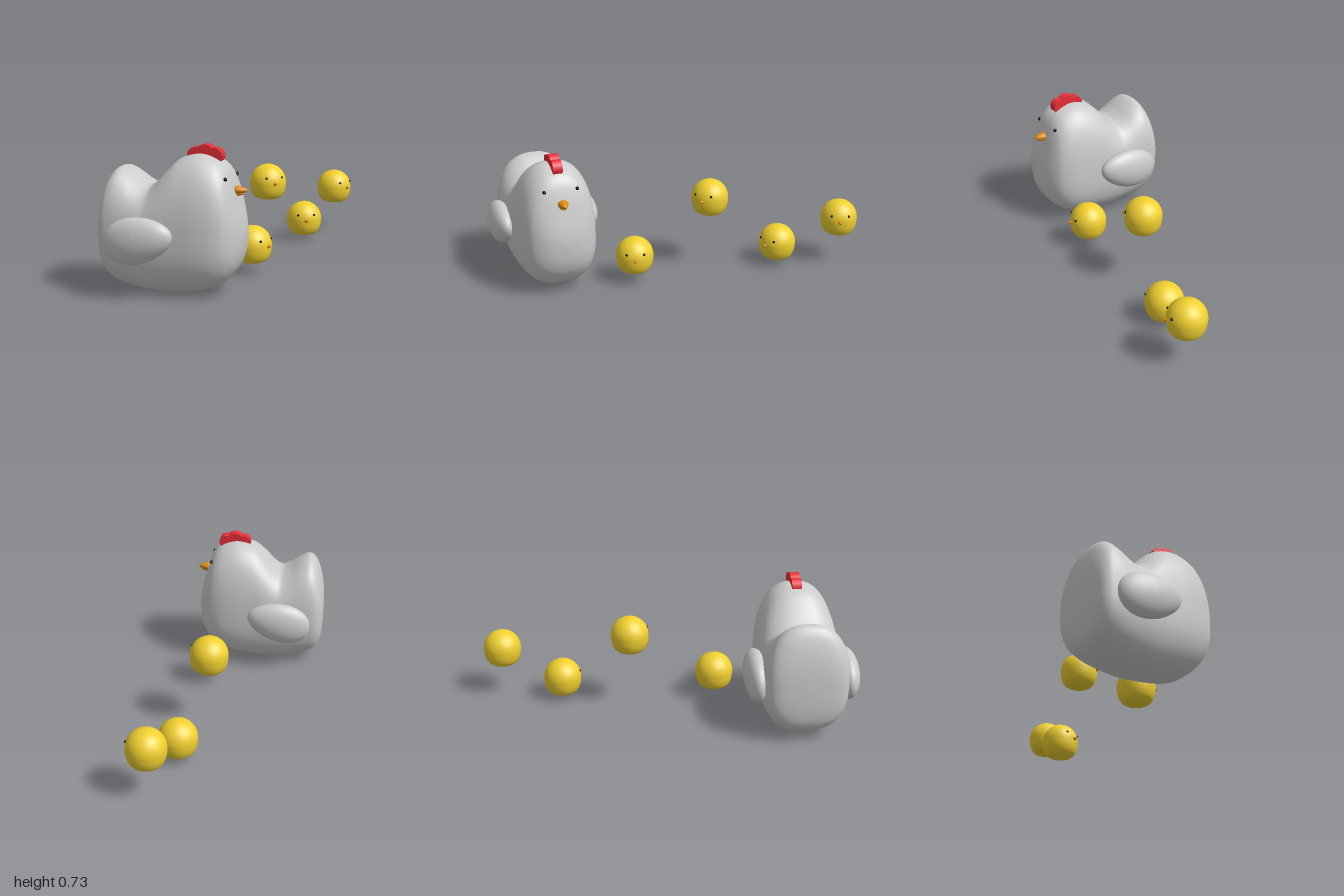
import * as THREE from 'three';
import { mergeVertices } from 'three/addons/utils/BufferGeometryUtils.js';

const mat = (color) => new THREE.MeshStandardMaterial({ color, roughness: 0.7 });
const grey = mat(0xcccccc), yellow = mat(0xf0d030), orange = mat(0xe08a10), red = mat(0xe83038), black = mat(0x0a0a0a);

function add(parent, name, geometry, material, x = 0, y = 0, z = 0) {
  const mesh = new THREE.Mesh(geometry, material);
  mesh.name = name;
  mesh.position.set(x, y, z);
  parent.add(mesh);
  return mesh;
}

// Hen body stations, front to back: z, top, bottom, half width
const stations = [
  [0.385, 0.3, 0.3, 0], [0.375, 0.375, 0.21, 0.075], [0.355, 0.46, 0.15, 0.125],
  [0.33, 0.555, 0.11, 0.16], [0.3, 0.625, 0.075, 0.18], [0.25, 0.668, 0.04, 0.197],
  [0.17, 0.69, 0.018, 0.207], [0.08, 0.668, 0.006, 0.21], [0.02, 0.62, 0, 0.212],
  [-0.04, 0.555, 0, 0.213], [-0.08, 0.53, 0.004, 0.213], [-0.13, 0.55, 0.01, 0.213],
  [-0.19, 0.592, 0.022, 0.213], [-0.24, 0.61, 0.04, 0.21], [-0.28, 0.575, 0.065, 0.202],
  [-0.31, 0.49, 0.11, 0.175], [-0.325, 0.4, 0.19, 0.115], [-0.33, 0.3, 0.3, 0],
];

// Loft of superellipse rings along the stations
function henBodyGeometry(rows = 85, cols = 56, mid = 0.3) {
  const spline = (f) => new THREE.CatmullRomCurve3(stations.map(f), false, 'catmullrom', 0.5);
  const heights = spline((s) => new THREE.Vector3(s[0], s[1], s[2]));
  const widths = spline((s) => new THREE.Vector3(s[3], 0, 0));
  const soft = (v, n) => Math.sign(v) * Math.abs(v) ** (2 / n);
  const positions = [], index = [];
  for (let i = 0; i <= rows; i++) {
    const { x: z, y: top, z: bottom } = heights.getPoint(i / rows);
    const w = Math.max(0, widths.getPoint(i / rows).x);
    for (let j = 0; j < cols; j++) {
      const a = (j / cols) * Math.PI * 2, c = Math.cos(a), s = Math.sin(a);
      const n = s >= 0 ? 2.4 : 2.6;
      positions.push(w * soft(c, n), mid + soft(s, n) * (s >= 0 ? top - mid : mid - bottom), z);
      if (i < rows) {
        const p = i * cols + j, q = i * cols + (j + 1) % cols;
        index.push(p, p + cols, q, q, p + cols, q + cols);
      }
    }
  }
  const geometry = new THREE.BufferGeometry();
  geometry.setAttribute('position', new THREE.Float32BufferAttribute(positions, 3));
  geometry.setIndex(index);
  const merged = mergeVertices(geometry, 1e-5);
  merged.computeVertexNormals();
  return merged;
}

// Rounded beak half, pointing along +z
function beakGeometry(radius, length, flatten) {
  const profile = [[radius * 0.7, 0], [radius, length * 0.2], [radius * 0.8, length * 0.55],
    [radius * 0.4, length * 0.88], [0, length]].map(([r, y]) => new THREE.Vector2(r, y));
  const curve = new THREE.SplineCurve(profile).getPoints(16);
  curve.forEach((p) => { p.x = Math.max(0, p.x); });
  return new THREE.LatheGeometry(curve, 24).rotateX(Math.PI / 2).scale(1, flatten, 1);
}

function createHen() {
  const hen = new THREE.Group();
  hen.name = 'hen';
  add(hen, 'henBody', henBodyGeometry(), grey);

  for (const side of [-1, 1]) {
    // Wing: egg shape, blunter at the back, drooping to the rear
    const geometry = new THREE.SphereGeometry(1, 36, 24);
    const p = geometry.attributes.position;
    for (let i = 0; i < p.count; i++) p.setY(i, p.getY(i) * (1 - 0.15 * p.getZ(i)));
    geometry.scale(0.065, 0.113, 0.178);
    geometry.computeVertexNormals();
    const wing = add(hen, 'wing', geometry, grey, side * 0.23, 0.29, -0.08);
    wing.rotation.x = -0.2;
    add(hen, 'henEye', new THREE.SphereGeometry(0.0095, 16, 12), black, side * 0.087, 0.58, 0.313);
  }

  add(hen, 'upperBeak', beakGeometry(0.027, 0.068, 0.75), orange, 0, 0.517, 0.328);
  add(hen, 'lowerBeak', beakGeometry(0.02, 0.05, 0.7), orange, 0, 0.502, 0.332);

  // Comb: three thick discs along the crown
  for (const [y, z, r] of [[0.677, 0.236, 0.041], [0.687, 0.188, 0.046], [0.677, 0.14, 0.041]]) {
    const disc = new THREE.CylinderGeometry(r, r, 0.05, 20).rotateZ(Math.PI / 2);
    add(hen, 'comb', disc, red, 0, y, z);
  }
  return hen;
}

// Chick body: dome above a flattened, rounded base
const chickProfile = [[0, 0], [0.035, 0.001], [0.06, 0.006], [0.08, 0.02], [0.092, 0.043], [0.098, 0.068], [0.1, 0.095]]
  .map(([r, y]) => new THREE.Vector2(r, y));
const chickCurve = new THREE.SplineCurve(chickProfile).getPoints(24);
for (let i = 1; i <= 20; i++) {
  const a = (i / 20) * Math.PI / 2;
  chickCurve.push(new THREE.Vector2(Math.max(0, 0.1 * Math.cos(a)), 0.095 + 0.1 * Math.sin(a)));
}

function createChick() {
  const chick = new THREE.Group();
  chick.name = 'chick';
  add(chick, 'chickBody', new THREE.LatheGeometry(chickCurve, 40), yellow);
  for (const side of [-1, 1]) {
    add(chick, 'chickEye', new THREE.SphereGeometry(0.0068, 14, 10), black, side * 0.046, 0.128, 0.082);
  }
  add(chick, 'chickUpperBeak', beakGeometry(0.012, 0.023, 0.7), orange, 0, 0.098, 0.092);
  add(chick, 'chickLowerBeak', beakGeometry(0.009, 0.016, 0.7), orange, 0, 0.092, 0.093);
  return chick;
}

export function createModel() {
  const model = new THREE.Group();
  model.name = 'henWithChicks';

  const hen = createHen();
  hen.position.set(-0.66, 0, 0.052);
  hen.rotation.y = Math.PI / 6;
  model.add(hen);

  // Chicks: x, y, z, turn in degrees
  for (const [x, y, z, turn] of [[-0.168, 0.057, 0.108, 13], [0.2, 0.303, -0.167, -19],
    [0.57, 0.027, -0.25, -37], [0.9, 0.165, -0.322, 6]]) {
    const chick = createChick();
    chick.position.set(x, y, z);
    chick.rotation.y = THREE.MathUtils.degToRad(turn);
    model.add(chick);
  }
  return model;
}
